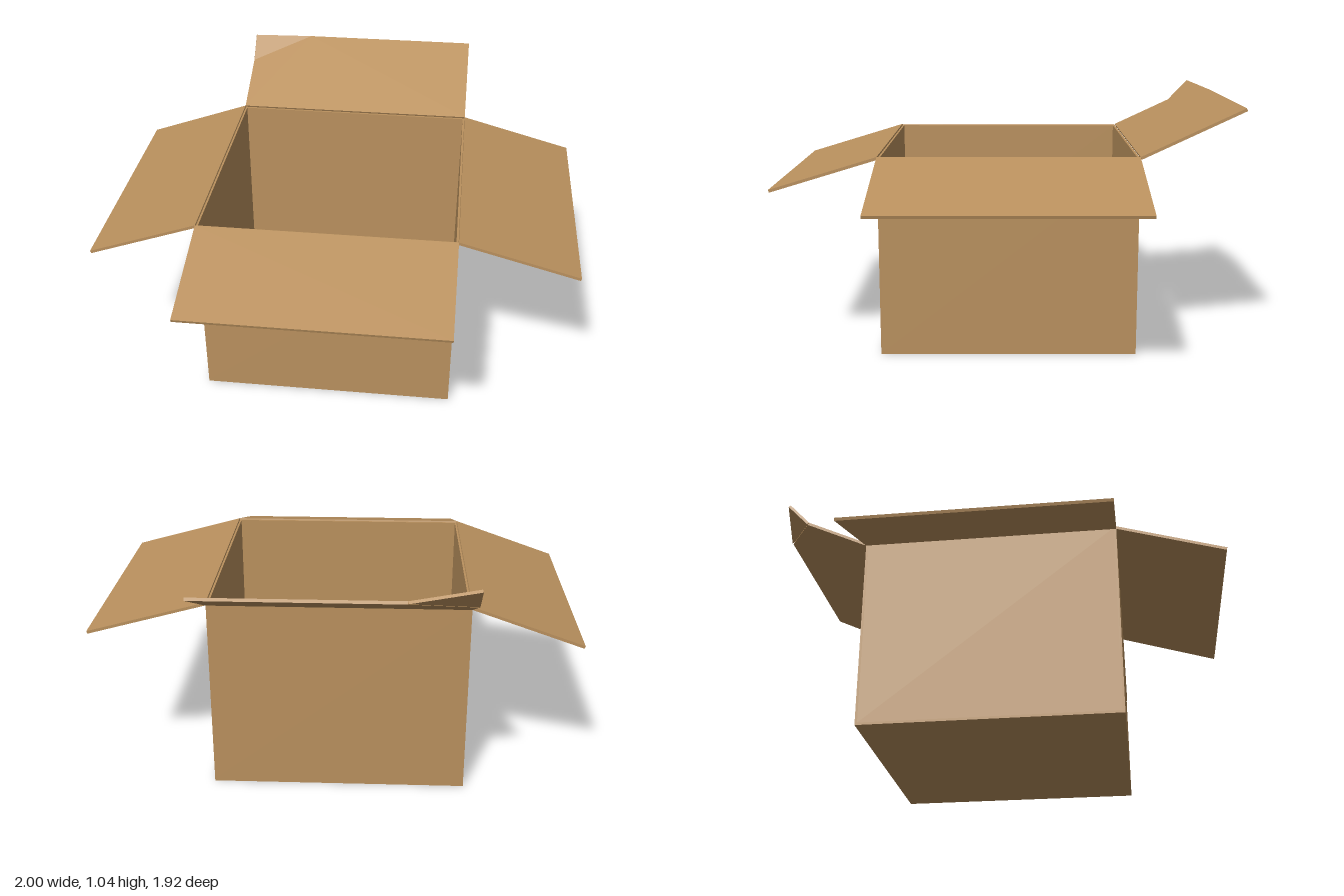
import * as THREE from 'three';

const X0 = -0.545, X1 = 0.51, Z0 = -0.54, Z1 = 0.515; // outer footprint
const H = 0.82, T = 0.01; // wall height and board thickness
const RIM = 0.826;

const cardboard = new THREE.MeshStandardMaterial({ color: 0xba915e });
cardboard.name = 'cardboard';

// Flat sheet: convex outline, counter-clockwise from its upper side, thickened downwards
function sheet(name, outline, thickness = 0.012) {
  const top = outline.map((p) => new THREE.Vector3(...p));
  const normal = new THREE.Triangle(top[0], top[1], top[2]).getNormal(new THREE.Vector3());
  const low = top.map((p) => p.clone().addScaledVector(normal, -thickness));
  const n = top.length;
  const points = [];
  for (let i = 1; i < n - 1; i++) {
    points.push(top[0], top[i], top[i + 1], low[0], low[i + 1], low[i]);
  }
  for (let i = 0; i < n; i++) {
    const j = (i + 1) % n;
    points.push(top[i], low[i], low[j], top[i], low[j], top[j]);
  }
  const geometry = new THREE.BufferGeometry().setFromPoints(points);
  geometry.computeVertexNormals();
  const mesh = new THREE.Mesh(geometry, cardboard);
  mesh.name = name;
  return mesh;
}

// Upright or lying board given by its opposite corners
function board(name, [ax, ay, az], [bx, by, bz]) {
  const mesh = new THREE.Mesh(new THREE.BoxGeometry(bx - ax, by - ay, bz - az), cardboard);
  mesh.position.set((ax + bx) / 2, (ay + by) / 2, (az + bz) / 2);
  mesh.name = name;
  return mesh;
}

export function createModel() {
  const box = new THREE.Group();
  box.name = 'openBox';

  // Floor with a seam strip, and four walls
  box.add(
    board('floor', [X0, 0, Z0], [X1, T, Z1]),
    board('floorSeam', [-0.48, T, -0.045], [0.44, T + 0.003, 0.015]),
    board('frontWall', [X0, T, Z1 - T], [X1, H, Z1]),
    board('backWall', [X0, T, Z0], [X1, H, Z0 + T]),
    board('leftWall', [X1 - T, T, Z0 + T], [X1, H, Z1 - T]),
    board('rightWall', [X0, T, Z0 + T], [X0 + T, H, Z1 - T]),
  );

  // Flaps drooping outwards on three sides
  box.add(
    sheet('leftFlap', [[X1, RIM, Z0], [X1, RIM, Z1], [1, 0.692, Z1], [1, 0.692, Z0]]),
    sheet('rightFlap', [[-1, 0.665, Z0], [-1, 0.665, Z1], [X0, RIM, Z1], [X0, RIM, Z0]]),
    sheet('frontFlap', [[X0, RIM, Z1], [X0, 0.692, 0.955], [X1, 0.692, 0.955], [X1, RIM, Z1]]),
  );

  // Raised back flap with one corner creased upwards
  const creaseA = [-0.28, 1.021, -0.955], creaseB = [X0, 0.948, -0.8];
  box.add(
    sheet('backFlap', [creaseA, creaseB, [X0, RIM, Z0], [X1, RIM, Z0], [X1, 1.021, -0.955]]),
    sheet('foldedCorner', [creaseA, [X0, 1.043, -0.89], creaseB]),
  );
  return box;
}
